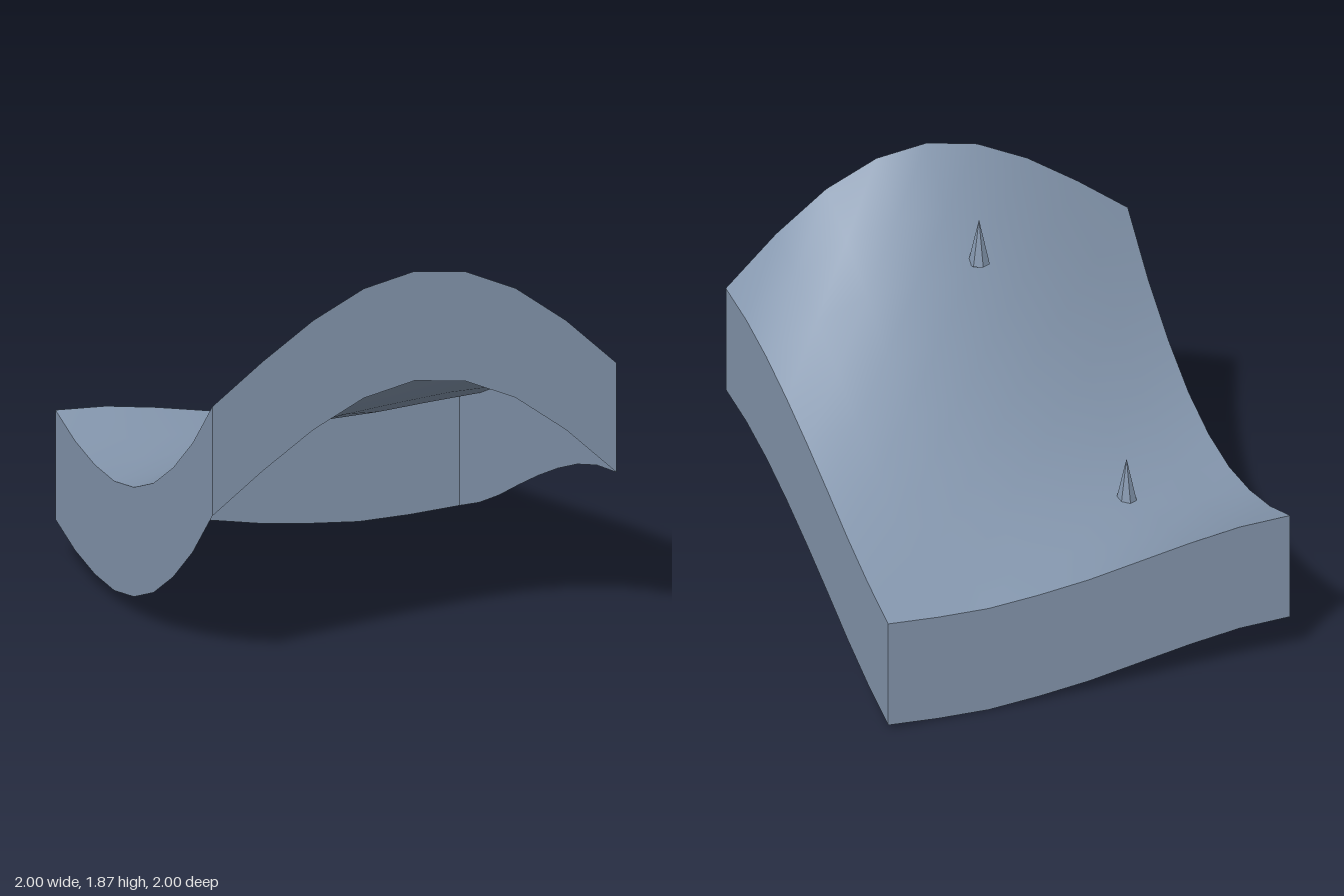
import * as THREE from 'three';

const N = 8; // grid cells per side
const DEPTH = 0.53; // height of the skirt walls

// Edge heights, sampled from -1 to 1
const FRONT = [1.33, 1.52, 1.69, 1.815, 1.87, 1.84, 1.73, 1.545, 1.31];
const BACK = [0.715, 0.705, 0.67, 0.625, 0.58, 0.55, 0.53, 0.535, 0.55];
const RIGHT = [0.715, 0.64, 0.6, 0.595, 0.64, 0.735, 0.885, 1.08, 1.33]; // x = -1
const LEFT = [0.55, 0.64, 0.75, 0.875, 0.995, 1.105, 1.2, 1.27, 1.31]; // x = +1

// Height at a grid point: blend of the four edges plus an interior sag
function height(i, j) {
  const { lerp } = THREE.MathUtils;
  const u = i / N, v = j / N, x = 2 * u - 1, z = 2 * v - 1;
  const alongZ = lerp(BACK[i], FRONT[i], v);
  const alongX = lerp(RIGHT[j], LEFT[j], u);
  const corners = lerp(lerp(BACK[0], BACK[N], u), lerp(FRONT[0], FRONT[N], u), v);
  const sag = (1 - x * x) * (1 - z * z) * (0.105 - 0.12 * x - 0.07 * z);
  return alongZ + alongX - corners - sag;
}

export function createModel() {
  const group = new THREE.Group();
  const slate = new THREE.MeshStandardMaterial({ color: 0x8496ad, side: THREE.DoubleSide });
  slate.name = 'slate blue';
  const add = (name, geometry) => {
    const mesh = new THREE.Mesh(geometry, slate);
    mesh.name = name;
    group.add(mesh);
    return mesh;
  };

  // Rolling top surface
  const ground = new THREE.PlaneGeometry(2, 2, N, N).rotateX(-Math.PI / 2);
  const p = ground.attributes.position;
  for (let k = 0; k < p.count; k++) p.setY(k, height(k % (N + 1), Math.floor(k / (N + 1))));
  ground.computeVertexNormals();
  add('terrainSurface', ground);

  // Skirt walls follow the edge heights; the underside stays open
  const addWall = (name, edge, angle, flip) => {
    const wall = new THREE.PlaneGeometry(2, 1, N, 1);
    const w = wall.attributes.position;
    for (let k = 0; k < w.count; k++) {
      const i = k % (N + 1);
      const top = edge[flip ? N - i : i];
      w.setY(k, k > N ? top - DEPTH : top);
    }
    add(name, wall.translate(0, 0, 1).rotateY(angle));
  };
  addWall('frontWall', FRONT, 0, false);
  addWall('backWall', BACK, Math.PI, true);
  addWall('leftWall', LEFT, Math.PI / 2, true);
  addWall('rightWall', RIGHT, -Math.PI / 2, false);

  // Small seven-sided spikes standing on the surface
  for (const [x, y, z] of [[-0.42, 0.615, -0.42], [-0.09, 1.435, 0.58]]) {
    const cone = new THREE.ConeGeometry(0.052, 0.225, 7, 1, false, Math.PI).toNonIndexed();
    cone.computeVertexNormals();
    add('spike', cone).position.set(x, y + 0.1125, z);
  }
  return group;
}
